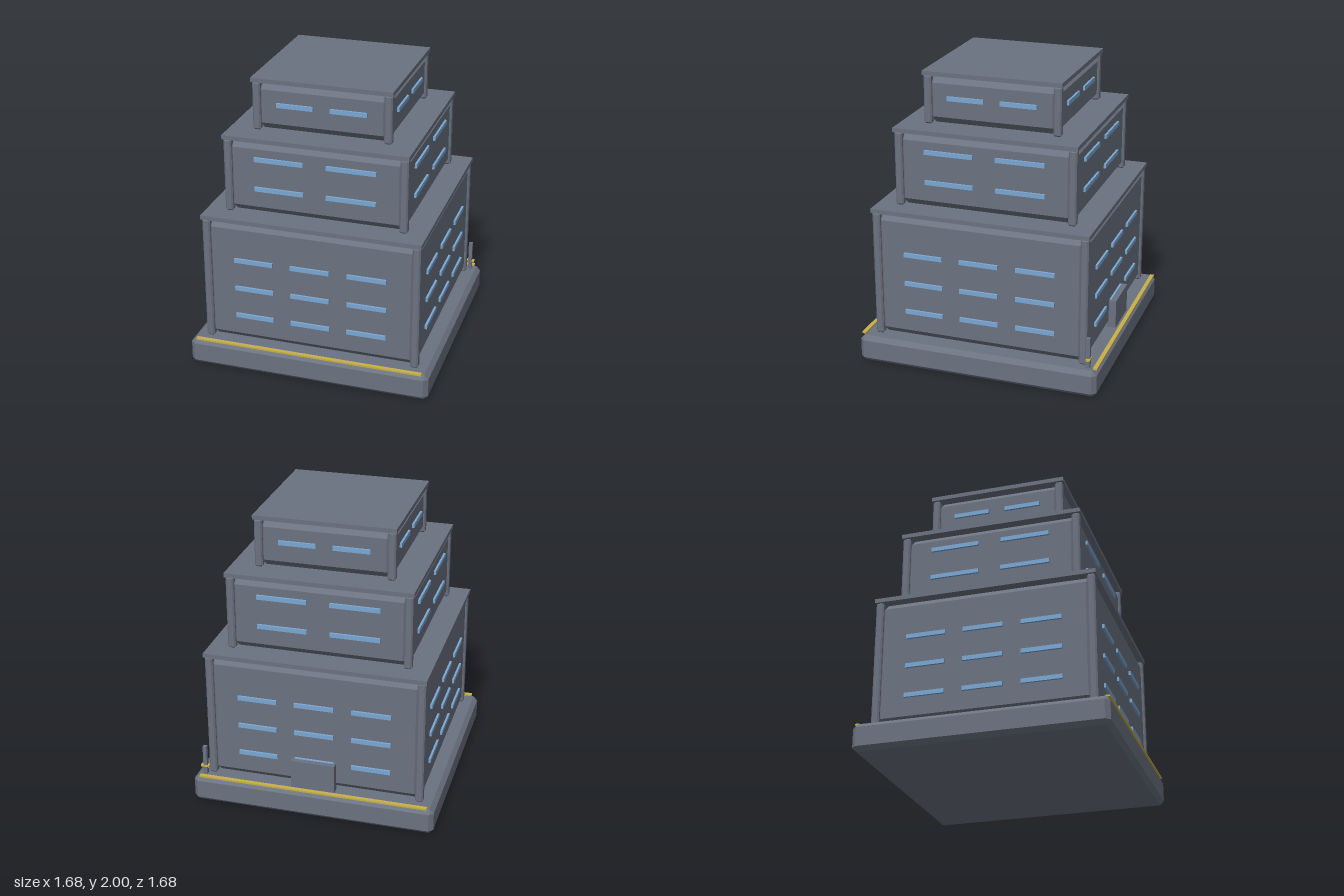
import * as THREE from 'three';
import { ConvexGeometry } from 'three/addons/geometries/ConvexGeometry.js';

const material = (name, color) => {
  const m = new THREE.MeshStandardMaterial({ color });
  m.name = name;
  return m;
};

// Box with every edge cut at 45 degrees
function chamferedBox(w, h, d, c) {
  const points = [];
  for (const x of [-1, 1]) for (const y of [-1, 1]) for (const z of [-1, 1]) {
    const X = x * w / 2, Y = y * h / 2, Z = z * d / 2;
    points.push(
      new THREE.Vector3(X, Y - y * c, Z - z * c),
      new THREE.Vector3(X - x * c, Y, Z - z * c),
      new THREE.Vector3(X - x * c, Y - y * c, Z));
  }
  return new ConvexGeometry(points);
}

export function createModel() {
  const model = new THREE.Group();
  const grey = material('slateGrey', 0x6b7280);
  const blue = material('windowBlue', 0x7aa7d2);
  const gold = material('trimYellow', 0xc9b04a);

  function add(parent, name, geometry, mat, x, y, z) {
    const mesh = new THREE.Mesh(geometry, mat);
    mesh.name = name;
    mesh.position.set(x, y, z);
    parent.add(mesh);
    return mesh;
  }
  const box = (w, h, d) => new THREE.BoxGeometry(w, h, d);

  // Foundation slab
  add(model, 'foundation', chamferedBox(1.68, 0.188, 1.68, 0.03), grey, 0, 0.094, 0);

  // Stacked storeys: half width of the roof, bottom, top, window columns, rows and width
  const tiers = [
    { name: 'lowerTier', half: 0.757, y0: 0.188, y1: 1.10, cols: [-0.392, 0, 0.392], rows: [0.38, 0.587, 0.795], w: 0.27 },
    { name: 'middleTier', half: 0.634, y0: 1.10, y1: 1.64, cols: [-0.247, 0.247], rows: [1.28, 1.49], w: 0.338 },
    { name: 'upperTier', half: 0.481, y0: 1.64, y1: 2.0, cols: [-0.183, 0.183], rows: [1.823], w: 0.252 },
  ];
  for (const t of tiers) {
    const tier = new THREE.Group();
    tier.name = t.name;
    model.add(tier);
    const roof = 0.03, wall = t.half - 0.02;
    const h = t.y1 - t.y0 - roof, mid = t.y0 + h / 2;
    add(tier, 'walls', chamferedBox(wall * 2, h, wall * 2, 0.05), grey, 0, mid, 0);
    add(tier, 'roofSlab', box(t.half * 2, roof, t.half * 2), grey, 0, t.y1 - roof / 2, 0);

    // Corner pillars
    const pillar = chamferedBox(0.054, h, 0.054, 0.01), p = t.half - 0.034;
    for (const x of [-p, p]) for (const z of [-p, p]) add(tier, 'cornerPillar', pillar, grey, x, mid, z);

    // The same window grid on each of the four sides
    const pane = box(t.w, 0.03, 0.03);
    for (let i = 0; i < 4; i++) {
      const side = new THREE.Group();
      side.name = 'windowSide';
      side.rotation.y = i * Math.PI / 2;
      tier.add(side);
      for (const x of t.cols) for (const y of t.rows) add(side, 'window', pane, blue, x, y, wall);
    }
  }

  // Yellow edge strips along the front and back of the foundation
  for (const z of [-0.822, 0.822]) add(model, 'edgeStrip', box(1.59, 0.012, 0.028), gold, 0, 0.194, z);

  // Back door
  add(model, 'backDoor', box(0.303, 0.202, 0.06), grey, 0, 0.289, -0.758);

  // Corner post with a yellow crossbar
  add(model, 'cornerPost', box(0.027, 0.212, 0.027), grey, 0.769, 0.294, -0.769);
  add(model, 'postCrossbar', box(0.06, 0.012, 0.029), gold, 0.77, 0.25, -0.773);

  return model;
}
